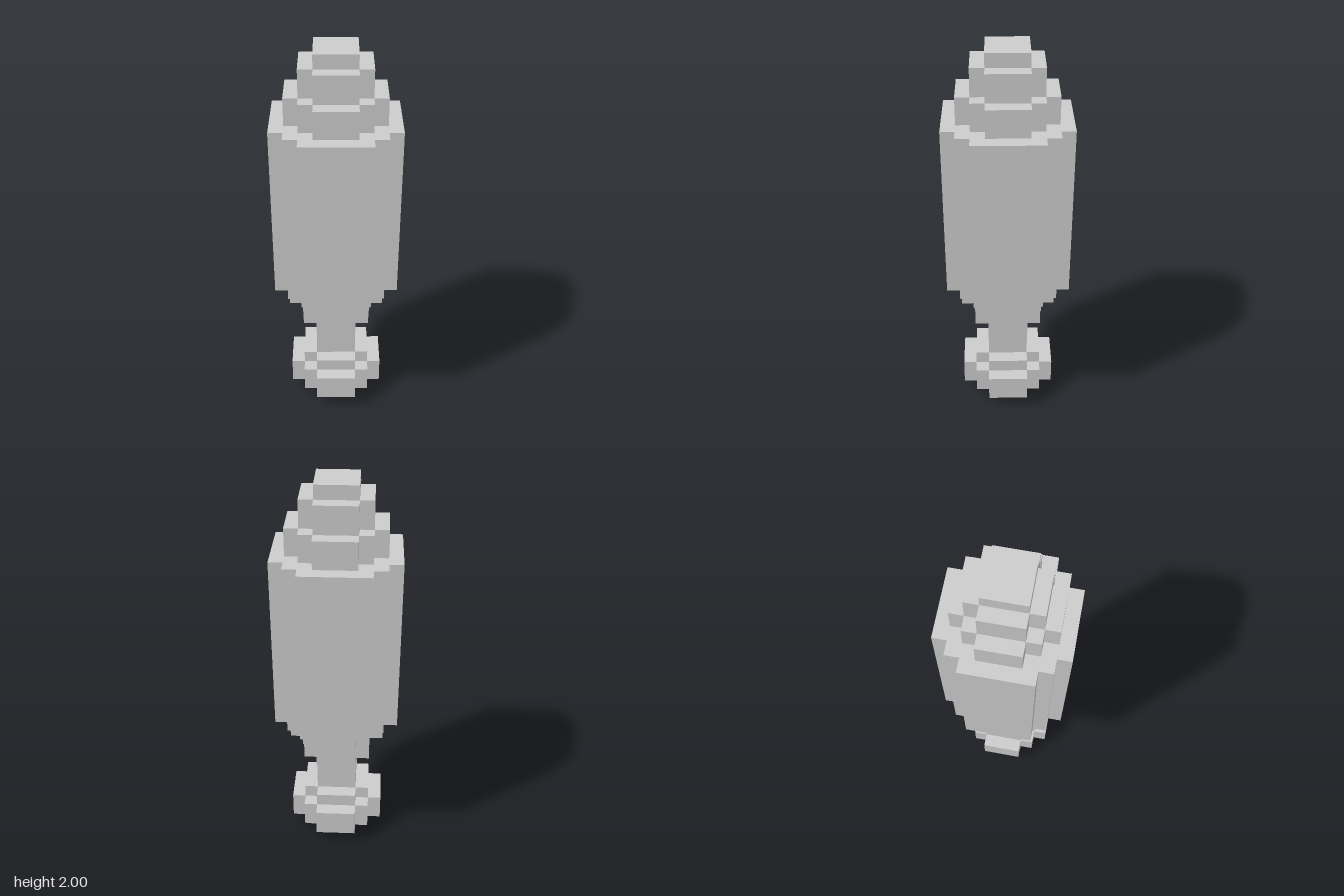
import * as THREE from 'three';

const U = 2 / 29; // one block; the model is 29 blocks tall

// Stepped plan: the flat sides lie at +-reach and are 2 * flat wide,
// and each corner climbs back in one-block steps.
function steppedShape(reach, flat) {
  const points = [];
  for (let quarter = 0; quarter < 4; quarter++) {
    const c = [1, 0, -1, 0][quarter], s = [0, 1, 0, -1][quarter];
    const add = (x, y) => points.push(new THREE.Vector2((x * c - y * s) * U, (x * s + y * c) * U));
    for (let x = reach, y = flat; x >= flat; x--, y++) {
      add(x, y);
      if (x > flat) add(x - 1, y);
    }
  }
  return new THREE.Shape(points);
}

// Layers from bottom to top: name, height, reach and flat half-width in blocks
const LAYERS = [
  ['footBottom', 1, 2.5, 1.5],
  ['footRim', 2, 3.5, 1.5],
  ['footTop', 1, 2.5, 1.5],
  ['neck', 3, 1.5, 1.5],
  ['lowerCollar', 2, 2.5, 1.5],
  ['upperCollar', 2, 3.5, 1.5],
  ['body', 13, 4.5, 2.5],
  ['lowerShoulder', 2, 3.5, 1.5],
  ['upperShoulder', 2, 2.5, 1.5],
  ['tip', 1, 1.5, 1.5],
];

export function createModel() {
  const model = new THREE.Group();
  const material = new THREE.MeshStandardMaterial({ color: 0xcccccc, flatShading: true });
  let y = 0;
  for (const [name, height, reach, flat] of LAYERS) {
    const geometry = new THREE.ExtrudeGeometry(steppedShape(reach, flat), {
      depth: height * U,
      bevelEnabled: false,
    });
    geometry.rotateX(-Math.PI / 2); // extrude upwards
    const mesh = new THREE.Mesh(geometry, material);
    mesh.name = name;
    mesh.position.y = y * U;
    model.add(mesh);
    y += height;
  }
  return model;
}
